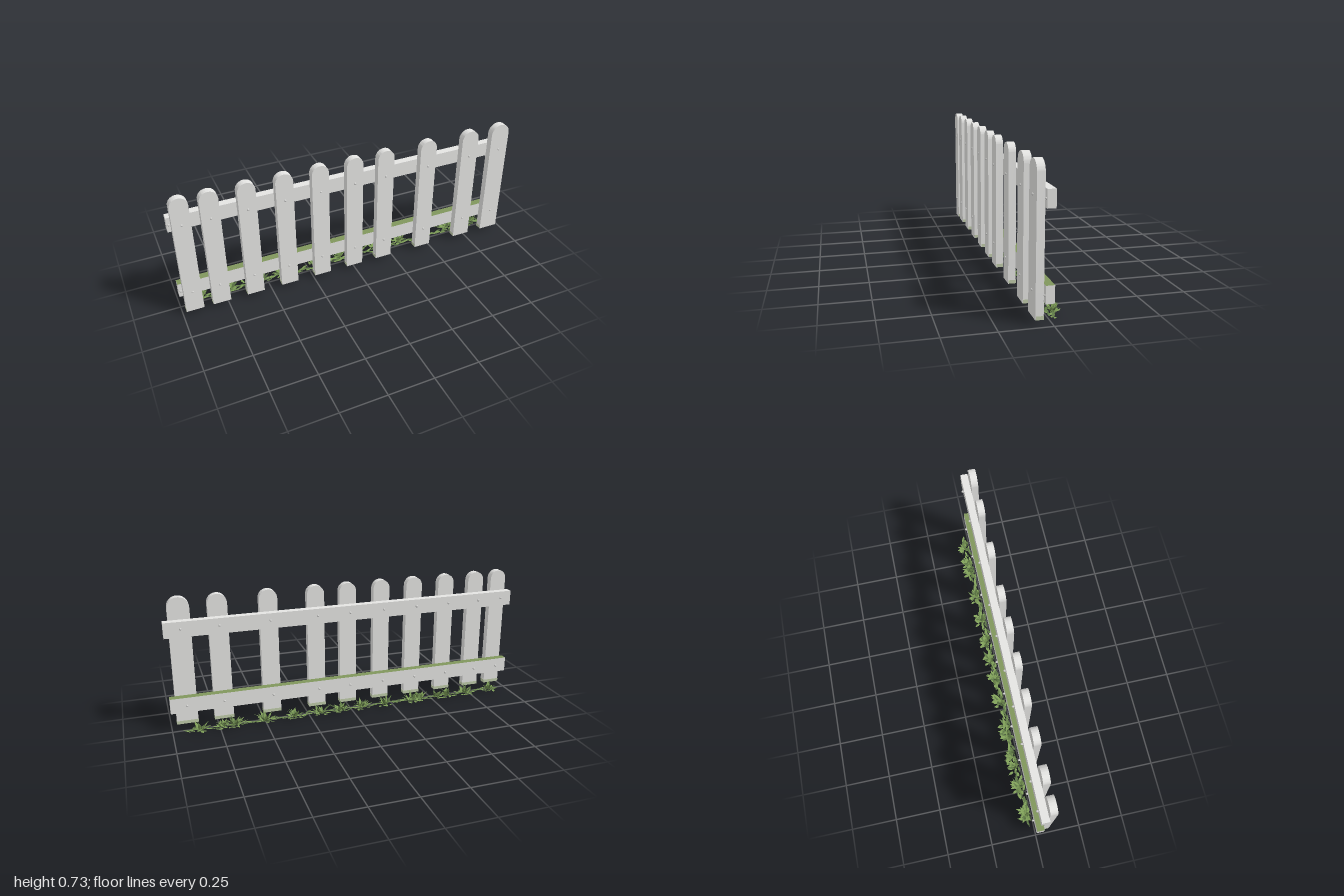
import * as THREE from 'three';
import { mergeGeometries, toCreasedNormals } from 'three/addons/utils/BufferGeometryUtils.js';

const mat = (name, color, side = THREE.FrontSide) => {
  const m = new THREE.MeshStandardMaterial({ color, side });
  m.name = name;
  return m;
};

export function createModel() {
  const fence = new THREE.Group();
  fence.name = 'picketFence';
  const wood = mat('weatheredWood', 0xe3e3e1);
  const moss = mat('moss', 0x80965c);
  const paleMoss = mat('paleMoss', 0xbecaa8);
  const metal = mat('nailMetal', 0xd2d2d0);
  const grassLight = mat('grassLight', 0x7f9f58, THREE.DoubleSide);
  const grassDark = mat('grassDark', 0x5f7a46, THREE.DoubleSide);

  const add = (name, geo, material, x = 0, y = 0, z = 0, parent = fence) => {
    const mesh = new THREE.Mesh(geo, material);
    mesh.name = name;
    mesh.position.set(x, y, z);
    parent.add(mesh);
    return mesh;
  };

  // Small seeded generator for the grass
  let seed = 7;
  const rand = (a, b) => {
    seed = (seed * 16807) % 2147483647;
    return a + (b - a) * (seed / 2147483647);
  };

  // Rails: mossy top on the lower one, mossy underside on the upper one
  const box = new THREE.BoxGeometry(2, 0.084, 0.041);
  const lowerMats = [wood, wood, moss, wood, wood, wood];
  const upperMats = [wood, wood, wood, moss, wood, wood];
  add('lowerRail', box, lowerMats, 0, 0.147, 0.0205);
  add('upperRail', box, upperMats, 0, 0.569, 0.0205);

  // Pickets: [centre x, width], each with a rounded top
  const pickets = [
    [-0.933, 0.095], [-0.786, 0.097], [-0.595, 0.096], [-0.396, 0.096], [-0.198, 0.095],
    [0, 0.096], [0.184, 0.097], [0.445, 0.099], [0.714, 0.104], [0.913, 0.114],
  ];
  const bottom = 0.022, top = 0.73, back = 0.04, depth = 0.038;
  const nailGeo = new THREE.SphereGeometry(0.0065, 10, 6);
  const nailYs = [0.145, 0.573];

  pickets.forEach(([x, w]) => {
    const picket = new THREE.Group();
    picket.name = 'picket';
    picket.position.x = x;
    fence.add(picket);

    const r = w / 2;
    const shape = new THREE.Shape();
    shape.moveTo(-r, bottom);
    shape.lineTo(r, bottom);
    shape.lineTo(r, top - r);
    shape.absarc(0, top - r, r, 0, Math.PI, false);
    shape.closePath();
    const board = new THREE.ExtrudeGeometry(shape, { depth, bevelEnabled: false, curveSegments: 14 });
    add('board', toCreasedNormals(board, 0.6), wood, 0, 0, back, picket);

    // Pale moss on the sides and back of the foot
    add('footMoss', new THREE.BoxGeometry(w + 0.002, 0.018, depth - 0.001),
      paleMoss, 0, bottom + 0.0095, back + depth / 2 - 0.0015, picket);

    // Nail heads in front and nail ends behind the rails
    for (const y of nailYs) {
      add('frontNail', nailGeo, metal, 0, y, back + depth, picket);
      const stub = add('backNail', nailGeo, metal, 0, y, -0.005, picket);
      stub.scale.z = 1.2;
    }
  });

  // Nails at the rail ends
  for (const side of [-1, 1]) {
    for (const y of nailYs) add('endNail', nailGeo, metal, side * 0.989, y - 0.004, 0.041);
  }

  // One tapered blade, curving outward along a heading
  const blade = (x, y, z, heading, length, rise, width) => {
    const dx = Math.cos(heading), dz = Math.sin(heading);
    const points = [];
    for (const [t, w] of [[0, 0.6], [0.5, 1], [1, 0.05]]) {
      const out = length * t, up = rise * t * (1.4 - 0.4 * t);
      for (const s of [-0.5, 0.5]) {
        points.push(x + dx * out - dz * w * width * s, y + up, z + dz * out + dx * w * width * s);
      }
    }
    const geo = new THREE.BufferGeometry();
    geo.setAttribute('position', new THREE.Float32BufferAttribute(points, 3));
    // Wound so that the upper side is the front
    geo.setIndex([0, 1, 2, 1, 3, 2, 2, 3, 4, 3, 5, 4]);
    geo.computeVertexNormals();
    return geo;
  };

  // Grass tufts along the back of the fence
  const light = [], dark = [];
  const tufts = [-0.88, -0.72, -0.6, -0.53, -0.42, -0.36, -0.2, -0.06, 0.07, 0.19, 0.34, 0.5, 0.67, 0.74, 0.86];
  for (const tx of tufts) {
    for (let i = 0; i < 22; i++) {
      const heading = rand(0, Math.PI * 2);
      const reach = rand(0.03, 0.065) * (1 - 0.45 * Math.abs(Math.sin(heading)));
      const geo = blade(tx + rand(-0.015, 0.015), 0.008, -0.034 + rand(-0.01, 0.01),
        heading, reach, rand(0.012, 0.048), rand(0.011, 0.017));
      (i % 3 ? light : dark).push(geo);
    }
    // Low leaves spreading away from the fence
    for (let i = 0; i < 5; i++) {
      light.push(blade(tx + rand(-0.03, 0.03), 0.006, -0.045, rand(-2.3, -0.85),
        rand(0.025, 0.037), rand(0.002, 0.01), 0.015));
    }
  }

  // Low creeping growth joining the tufts
  for (let i = 0; i < 170; i++) {
    const x = -0.92 + (1.84 * i) / 169;
    const heading = rand(-0.5, 0.5) + (i % 2 ? Math.PI : 0);
    const geo = blade(x, rand(0, 0.008), -0.022 + rand(-0.014, 0.014),
      heading, rand(0.025, 0.045), rand(0.002, 0.01), rand(0.011, 0.017));
    (i % 2 ? dark : light).push(geo);
  }
  // Blade order from the sampled cross-sections faces down, so flip it
  const flipped = (blades) => {
    const geo = mergeGeometries(blades);
    geo.index.array.reverse();
    geo.computeVertexNormals();
    return geo;
  };
  add('lightGrass', flipped(light), grassLight);
  add('darkGrass', flipped(dark), grassDark);

  return fence;
}
